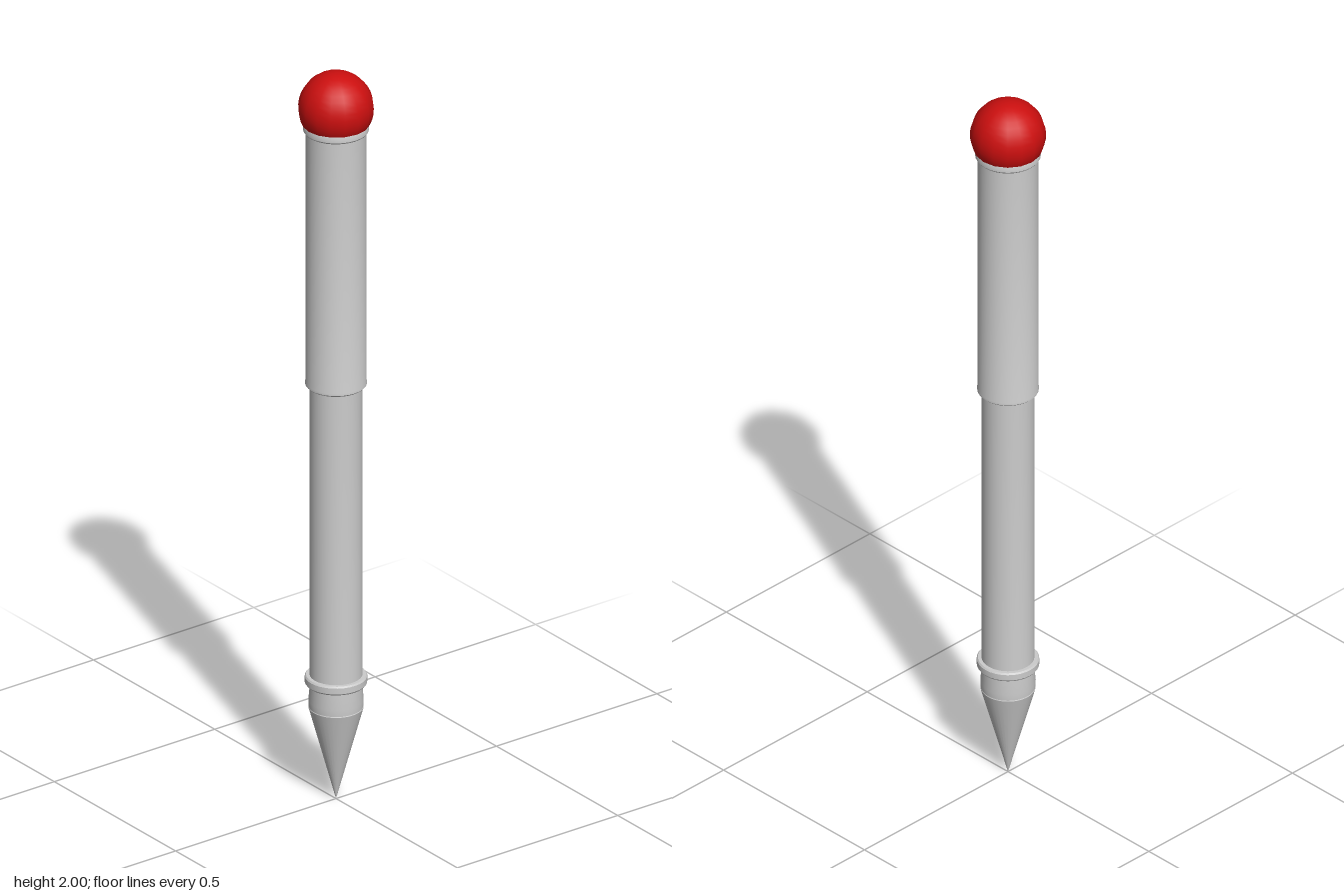
import * as THREE from 'three';
import { toCreasedNormals } from 'three/addons/utils/BufferGeometryUtils.js';

const grey = new THREE.MeshStandardMaterial({ color: 0xcccccc });
const red = new THREE.MeshStandardMaterial({ color: 0xcc0f0f });

// Turned part from [radius, height] pairs, listed bottom to top
function turned(name, profile, material = grey, sides = 32) {
  const points = profile.map(([r, y]) => new THREE.Vector2(r, y));
  const geometry = toCreasedNormals(new THREE.LatheGeometry(points, sides), Math.PI / 6);
  const mesh = new THREE.Mesh(geometry, material);
  mesh.name = name;
  return mesh;
}

export function createModel() {
  const group = new THREE.Group();
  group.name = 'telescopicStake';

  // Pointed foot
  group.add(turned('spike', [[0, 0], [0.069, 0.255], [0.066, 0.262]]));

  // Narrow lower tube, running up inside the sleeve
  group.add(turned('lowerTube', [
    [0.068, 0.255], [0.069, 0.275], [0.066, 0.31], [0.066, 1.16],
  ]));

  // Stop ring above the spike
  group.add(turned('stopRing', [
    [0.064, 0.32], [0.075, 0.32], [0.078, 0.324], [0.078, 0.34], [0.075, 0.344], [0.064, 0.344],
  ]));

  // Wide upper sleeve with a slightly rolled bottom lip
  group.add(turned('upperSleeve', [
    [0.064, 1.142], [0.073, 1.142], [0.077, 1.146], [0.077, 1.152], [0.076, 1.156], [0.076, 1.845],
  ]));

  // Collar under the knob
  group.add(turned('collar', [
    [0.07, 1.841], [0.079, 1.841], [0.082, 1.845], [0.082, 1.858], [0.08, 1.863], [0, 1.863],
  ]));

  // Ball knob, cut flat where it meets the collar
  const radius = 0.095, centre = 1.905;
  const cut = Math.acos((1.862 - centre) / radius);
  const knob = new THREE.Mesh(
    new THREE.SphereGeometry(radius, 16, 12, 0, Math.PI * 2, 0, cut), red);
  knob.name = 'knob';
  knob.position.y = centre;
  group.add(knob);
  const base = new THREE.Mesh(new THREE.CircleGeometry(radius * Math.sin(cut), 16), red);
  base.name = 'knobBase';
  base.rotation.x = Math.PI / 2;
  base.position.y = 1.862;
  group.add(base);

  return group;
}
